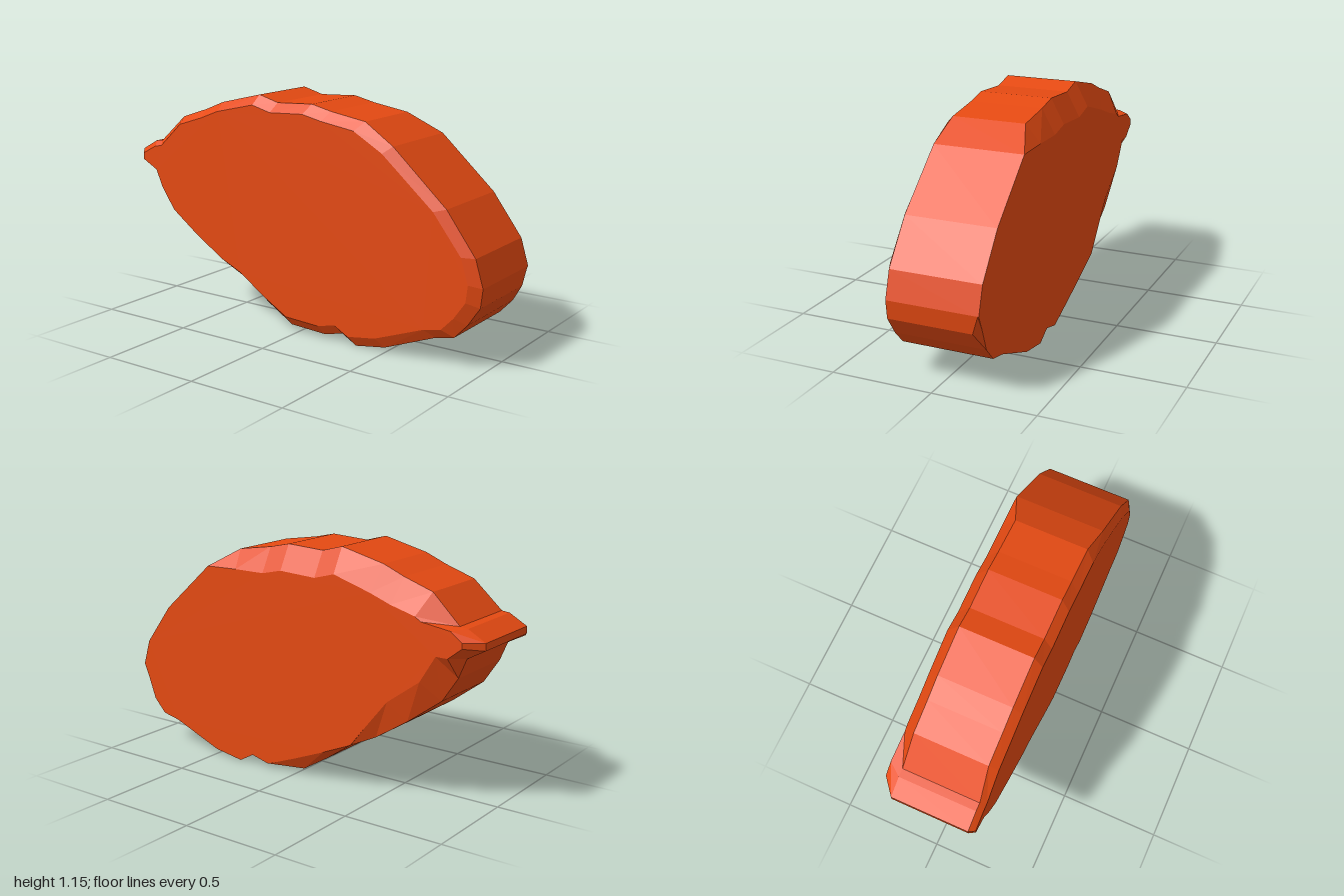
import * as THREE from 'three';

// Silhouette as [z, y], from the nose over the top to the tail and back underneath
const outline = [
  [1, 0.4], [0.96, 0.53], [0.81, 0.73], [0.53, 0.98], [0.37, 1.075], [0.18, 1.105], [0.07, 1.13], [-0.13, 1.12],
  [-0.24, 1.15], [-0.47, 1.095], [-0.58, 1.05], [-0.73, 1], [-0.87, 0.865], [-0.91, 0.86], [-1, 0.81], [-1, 0.775],
  [-0.91, 0.725], [-0.87, 0.63], [-0.79, 0.51], [-0.63, 0.39], [-0.46, 0.28], [-0.34, 0.225], [-0.18, 0.115], [-0.04, 0.03],
  [0.16, 0.02], [0.26, 0.045], [0.34, 0], [0.5, 0.025], [0.77, 0.13], [0.865, 0.15], [0.93, 0.22], [0.99, 0.31],
];

// Points where the left face is chamfered in from the silhouette, keyed by outline index
const leftInset = {
  4: [0.35, 0.985], 5: [0.18, 0.985], 6: [0.07, 1.01], 7: [-0.13, 1], 8: [-0.24, 1.03], 9: [-0.44, 0.97],
  10: [-0.55, 0.93], 11: [-0.68, 0.895], 12: [-0.71, 0.875], 13: [-0.86, 0.855], 14: [-0.92, 0.81], 15: [-0.92, 0.785],
  16: [-0.85, 0.73], 17: [-0.79, 0.73], 18: [-0.71, 0.6], 19: [-0.54, 0.475], 20: [-0.43, 0.34],
  22: [-0.18, 0.155], 23: [-0.02, 0.09], 31: [0.97, 0.33],
};

// Flat-shaded solid through rings of equal point count, closed with a cap at each end
function loft(rings) {
  const n = rings[0].length;
  const index = [];
  for (let i = 0; i < rings.length - 1; i++) {
    for (let j = 0; j < n; j++) {
      const k = (j + 1) % n;
      const a = i * n + j, b = i * n + k, c = b + n, d = a + n;
      index.push(a, b, c, a, c, d);
    }
  }
  for (const [r, sign] of [[0, -1], [rings.length - 1, 1]]) {
    const flat = rings[r].map((p) => new THREE.Vector2(p.z, p.y));
    for (const [a, b, c] of THREE.ShapeUtils.triangulateShape(flat, [])) {
      const area = THREE.ShapeUtils.area([flat[a], flat[b], flat[c]]);
      const tri = area * sign > 0 ? [a, b, c] : [a, c, b];
      index.push(...tri.map((v) => v + r * n));
    }
  }
  const indexed = new THREE.BufferGeometry().setFromPoints(rings.flat());
  indexed.setIndex(index);
  const geometry = indexed.toNonIndexed();
  geometry.computeVertexNormals();
  return geometry;
}

export function createModel() {
  const group = new THREE.Group();
  group.name = 'slab';

  const ring = (points, x) => points.map(([z, y]) => new THREE.Vector3(x, y, z));
  const leftFace = outline.map((p, i) => leftInset[i] || p);
  const rightFace = outline.map(([z, y]) => [z * 0.96 - 0.02, 0.57 + (y - 0.57) * 0.92]);

  // Wide chamfer on the left, narrow bevel all round on the right
  const leftRim = outline.map(([z, y], i) => new THREE.Vector3(leftInset[i] ? (i > 18 ? 0.2 : 0.17) : 0.23, y, z));
  const rightRim = outline.map(([z, y]) => new THREE.Vector3(y > 0.98 ? -0.195 : -0.212, y, z));

  const body = new THREE.Mesh(
    loft([ring(leftFace, 0.235), leftRim, rightRim, ring(rightFace, -0.24)]),
    new THREE.MeshStandardMaterial({ color: 0xe64a12, flatShading: true }),
  );
  body.name = 'body';
  group.add(body);
  return group;
}
